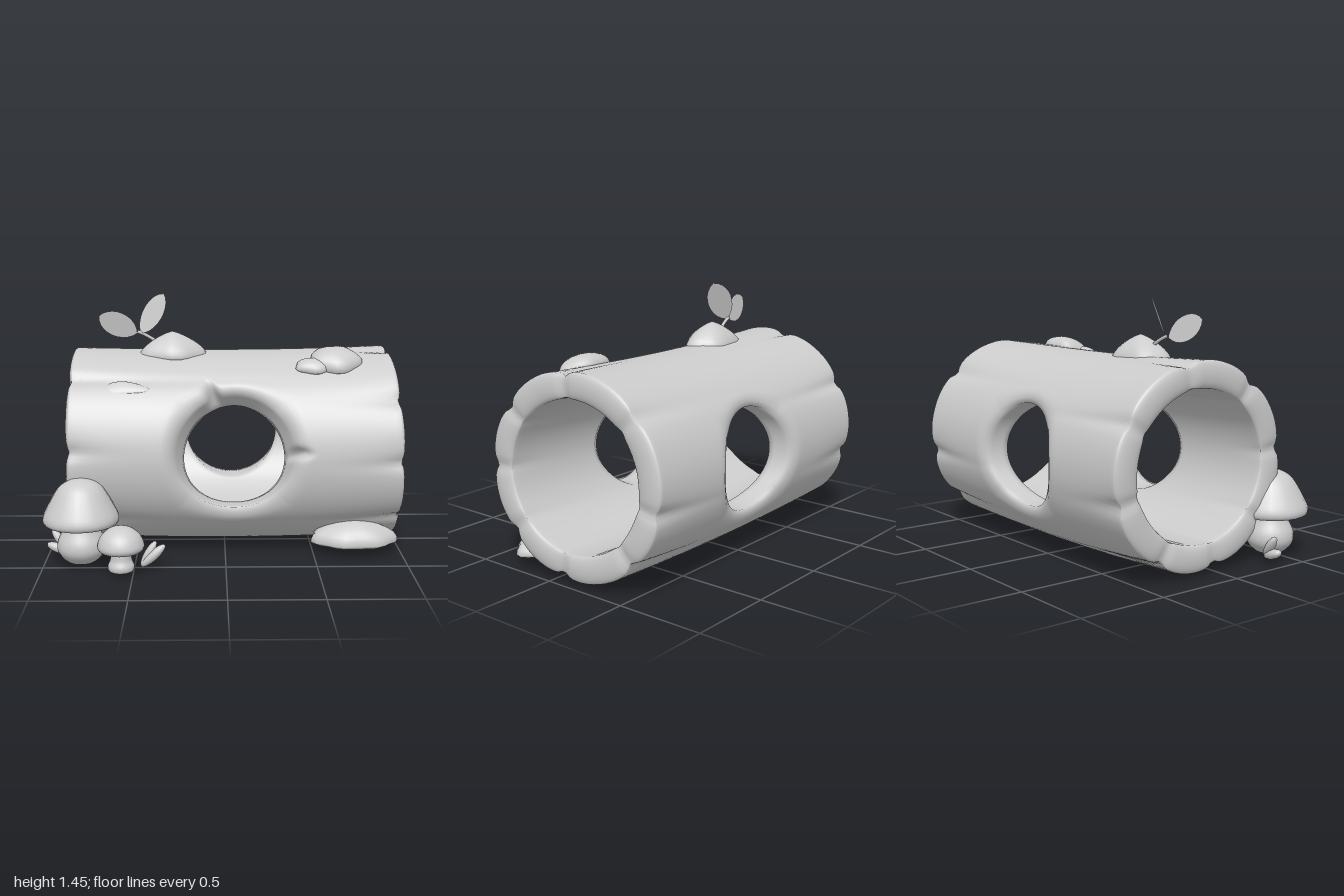
import * as THREE from 'three';
import { mergeVertices } from 'three/addons/utils/BufferGeometryUtils.js';

const clay = new THREE.MeshStandardMaterial({ color: 0xcccccc });
clay.name = 'pale grey';
const clayThin = clay.clone();
clayThin.name = 'pale grey leaf';
clayThin.side = THREE.DoubleSide;

const V = (x, y, z) => new THREE.Vector3(x, y, z);
const lerp = THREE.MathUtils.lerp;
const rad = THREE.MathUtils.degToRad;

function add(group, name, geometry, material = clay) {
  const mesh = new THREE.Mesh(geometry, material);
  mesh.name = name;
  group.add(mesh);
  return mesh;
}

// Cracks running in from each end of the log: [angle, length]
const cracks = {
  right: [[83, 0.2], [36, 0.15], [-2, 0.12], [-42, 0.3], [-83, 0.25], [225, 0.35], [190, 0.2], [136, 0.3]],
  left: [[51, 0.45], [5, 0.1], [-40, 0.25], [-80, 0.2], [240, 0.3], [195, 0.15], [150, 0.3], [100, 0.2]],
};
function crackDepth(list, phi, dist) {
  let sum = 0;
  for (const [deg, len] of list) {
    const d = 2 * Math.sin((phi - rad(deg)) / 2);
    const shape = 0.65 * Math.exp(-((d / 0.06) ** 2)) + 0.35 * Math.exp(-((d / 0.17) ** 2));
    sum += shape * Math.exp(-Math.max(dist, 0) / len);
  }
  return Math.min(sum, 1);
}
const rightEnd = phi => 0.945 + 0.02 * Math.cos(phi) - 0.015 * Math.sin(phi);
const LEFT_END = -0.85;

// Point on the wall: depth 0 is the bark, depth 1 the inside
function wallPoint(x, phi, depth, bulge, drop) {
  const cr = crackDepth(cracks.right, phi, rightEnd(phi) - x);
  const cl = crackDepth(cracks.left, phi, x - LEFT_END);
  const cut = Math.max(cr, cl);
  const t = (x - 0.05) / 0.9;
  const inset = 0.15 * depth + (0.035 * (1 - depth) - 0.01 * depth) * cut + drop;
  const ry = 0.556 - inset, rz = 0.56 + 0.014 * t * t - inset;
  return V(
    x + bulge * (1 - 0.75 * cut),
    0.565 + 0.022 * t * t + ry * Math.sin(phi),
    -0.134 - 0.008 * t + rz * Math.cos(phi));
}

// Half of the log, gridded from its round hole out to the seams and ends
function addLogHalf(front, positions, indices) {
  const M = 64, N = 40, J = 24, T = 10, S = 4;
  const rim = [];
  for (let i = 0; i < M; i++) rim.push([1, -1 + 2 * i / M]);
  for (let i = 0; i < N; i++) rim.push([1 - 2 * i / N, 1]);
  for (let i = 0; i < M; i++) rim.push([-1, 1 - 2 * i / M]);
  for (let i = 0; i < N; i++) rim.push([-1 + 2 * i / N, -1]);
  const K = rim.length;
  const bump = (a, c) => Math.exp(-(((a - c) / 0.09) ** 2));

  const holePoint = (a, depth) => {
    let r = lerp(front ? 0.335 : 0.305, 0.28, depth);
    if (front) r += 0.05 * (1 - depth) * (bump(a, 1.92) + bump(a, 0.02));
    const cy = lerp(front ? 0.05 : 0.01, 0.0, depth);
    const R = 0.556 - 0.15 * depth;
    return [0.05 + r * Math.cos(a), Math.asin((cy + r * Math.sin(a)) / R)];
  };
  const place = (k, f, depth, bulge = 0) => {
    const [u, v] = rim[k % K];
    const [hx, ht] = holePoint(Math.atan2(v, u), depth);
    const theta = lerp(ht, v * Math.PI / 2, f);
    const edgePhi = front ? v * Math.PI / 2 : Math.PI - v * Math.PI / 2;
    const phi = front ? theta : Math.PI - theta;
    const ex = lerp(LEFT_END, rightEnd(edgePhi), (u + 1) / 2);
    const soft = Math.max(0, 1 - f / 0.12) ** 2 * 0.033 * (1 - depth);
    return wallPoint(lerp(hx, ex, f), phi, depth, bulge * u, soft);
  };

  // Rows: bark, rounded end lip, inside, hole edge
  const rows = [];
  for (let j = 0; j <= J; j++) rows.push(k => place(k, j / J, 0));
  for (let t = 1; t < T; t++) {
    const a = Math.PI * t / T;
    rows.push(k => place(k, 1, (1 - Math.cos(a)) / 2, Math.abs(rim[k % K][0]) === 1 ? 0.027 * Math.sin(a) : 0));
  }
  for (let j = J; j >= 0; j--) rows.push(k => place(k, j / J, 1));
  for (let s = 1; s <= S; s++) rows.push(k => place(k, 0, 1 - s / S));

  const base = positions.length / 3;
  for (const row of rows) for (let k = 0; k < K; k++) positions.push(...row(k).toArray());
  for (let r = 0; r < rows.length - 1; r++) {
    for (let k = 0; k < K; k++) {
      const onSeam = (k >= M && k < M + N) || k >= 2 * M + N;
      if (onSeam && r >= J && r < J + T) continue;
      const k2 = (k + 1) % K;
      const a = base + r * K + k, b = a + K, d = base + r * K + k2, c = d + K;
      if (front) indices.push(a, b, c, a, c, d);
      else indices.push(a, c, b, a, d, c);
    }
  }
}

function logGeometry() {
  const positions = [], indices = [];
  addLogHalf(true, positions, indices);
  addLogHalf(false, positions, indices);
  let g = new THREE.BufferGeometry();
  g.setAttribute('position', new THREE.Float32BufferAttribute(positions, 3));
  g.setIndex(indices);
  g = mergeVertices(g, 1e-4);
  g.computeVertexNormals();
  return g;
}

// Lumpy mound of moss with a shallow underside
function mossGeometry(sx, sy, sz, lumps, amount, peak) {
  let g = new THREE.SphereGeometry(1, 24, 14);
  g.deleteAttribute('uv');
  g.deleteAttribute('normal');
  g = mergeVertices(g, 1e-4);
  const p = g.attributes.position;
  for (let i = 0; i < p.count; i++) {
    const x = p.getX(i), y = p.getY(i), z = p.getZ(i);
    const side = Math.hypot(x, z);
    const f = 1 + amount * side * Math.sin(lumps * Math.atan2(z, x) + 0.8);
    const h = y > 0 ? y * (1 - peak * side) : y * 0.35;
    p.setXYZ(i, x * f * sx, h * sy, z * f * sz);
  }
  g.computeVertexNormals();
  return g;
}
function addMoss(group, name, pos, size, tilt, lumps = 5, amount = 0.06, peak = 0) {
  const m = add(group, name, mossGeometry(...size, lumps, amount, peak));
  m.position.set(...pos);
  m.rotation.x = tilt;
}

// Flat pointed leaf from base to tip
function addLeaf(group, name, base, tip, widthDir, width) {
  const len = base.distanceTo(tip), w = width * 0.67;
  const s = new THREE.Shape();
  s.moveTo(0, 0);
  s.bezierCurveTo(w, len * 0.2, w, len * 0.85, 0, len);
  s.bezierCurveTo(-w, len * 0.85, -w, len * 0.2, 0, 0);
  const m = add(group, name, new THREE.ShapeGeometry(s, 10), clayThin);
  const y = tip.clone().sub(base).normalize();
  const x = widthDir.clone().addScaledVector(y, -widthDir.dot(y)).normalize();
  m.quaternion.setFromRotationMatrix(new THREE.Matrix4().makeBasis(x, y, x.clone().cross(y)));
  m.position.copy(base);
}

// Plump little sprout leaf
function addBud(group, name, base, tip, width) {
  const m = add(group, name, new THREE.SphereGeometry(1, 12, 8));
  const dir = tip.clone().sub(base);
  m.scale.set(width * 0.8, dir.length() / 2, width);
  m.position.copy(base).lerp(tip, 0.5);
  m.quaternion.setFromUnitVectors(V(0, 1, 0), dir.normalize());
}

function addMushroom(group, name, pos, stem, cap) {
  const g = new THREE.Group();
  g.name = name;
  g.position.set(...pos);
  const turn = pts => new THREE.LatheGeometry(
    new THREE.SplineCurve(pts.map(p => new THREE.Vector2(...p))).getPoints(24).map(p => p.set(Math.max(p.x, 0), p.y)), 24);
  add(g, 'mushroomStem', turn(stem));
  add(g, 'mushroomCap', turn(cap));
  group.add(g);
}

export function createModel() {
  const model = new THREE.Group();
  model.name = 'hollowLog';
  add(model, 'log', logGeometry());

  // Moss and bark patches
  addMoss(model, 'topMoss', [-0.3, 1.1, -0.075], [0.19, 0.14, 0.135], 0, 5, 0.06, 0.35);
  addMoss(model, 'frontMoss', [0.625, 1.08, 0.08], [0.15, 0.08, 0.12], 0.38);
  addMoss(model, 'frontMossLobe', [0.5, 1.06, 0.135], [0.105, 0.045, 0.065], 0.48);
  addMoss(model, 'lowerMoss', [0.73, 0.085, 0.24], [0.245, 0.115, 0.14], 0.05, 7, 0.05, 0.1);
  addMoss(model, 'barkPatch', [-0.555, 0.96, 0.265], [0.125, 0.015, 0.045], 0.8, 3, 0.12);

  // Twig with two leaves
  const twig = new THREE.QuadraticBezierCurve3(V(-0.38, 1.17, -0.07), V(-0.44, 1.22, -0.06), V(-0.5, 1.24, -0.05));
  add(model, 'twig', new THREE.TubeGeometry(twig, 8, 0.01, 8));
  addLeaf(model, 'leftLeaf', V(-0.5, 1.23, -0.05), V(-0.715, 1.335, 0), V(0.4, 0.9, 0.1), 0.14);
  addLeaf(model, 'rightLeaf', V(-0.48, 1.23, -0.05), V(-0.345, 1.457, -0.047), V(0.1, -0.05, 0.09), 0.145);

  // Mushrooms
  addMushroom(model, 'bigMushroom', [-0.79, 0, 0.455],
    [[0, 0.03], [0.07, 0.035], [0.125, 0.09], [0.13, 0.15], [0.1, 0.22], [0.08, 0.29]],
    [[0, 0.26], [0.12, 0.255], [0.19, 0.25], [0.208, 0.285], [0.18, 0.35], [0.12, 0.45], [0.06, 0.49], [0, 0.5]]);
  addMushroom(model, 'smallMushroom', [-0.565, 0, 0.585],
    [[0, 0.02], [0.06, 0.022], [0.072, 0.05], [0.058, 0.09], [0.056, 0.15]],
    [[0, 0.14], [0.07, 0.13], [0.11, 0.135], [0.127, 0.165], [0.105, 0.22], [0.055, 0.26], [0, 0.272]]);

  // Sprouts
  addBud(model, 'rightSproutOuter', V(-0.46, 0.03, 0.54), V(-0.33, 0.15, 0.535), 0.034);
  addBud(model, 'rightSproutInner', V(-0.46, 0.03, 0.53), V(-0.38, 0.165, 0.515), 0.03);
  addBud(model, 'leftSproutOuter', V(-0.87, 0.045, 0.34), V(-1.0, 0.09, 0.32), 0.035);
  addBud(model, 'leftSproutInner', V(-0.87, 0.045, 0.34), V(-0.97, 0.17, 0.31), 0.032);
  return model;
}
